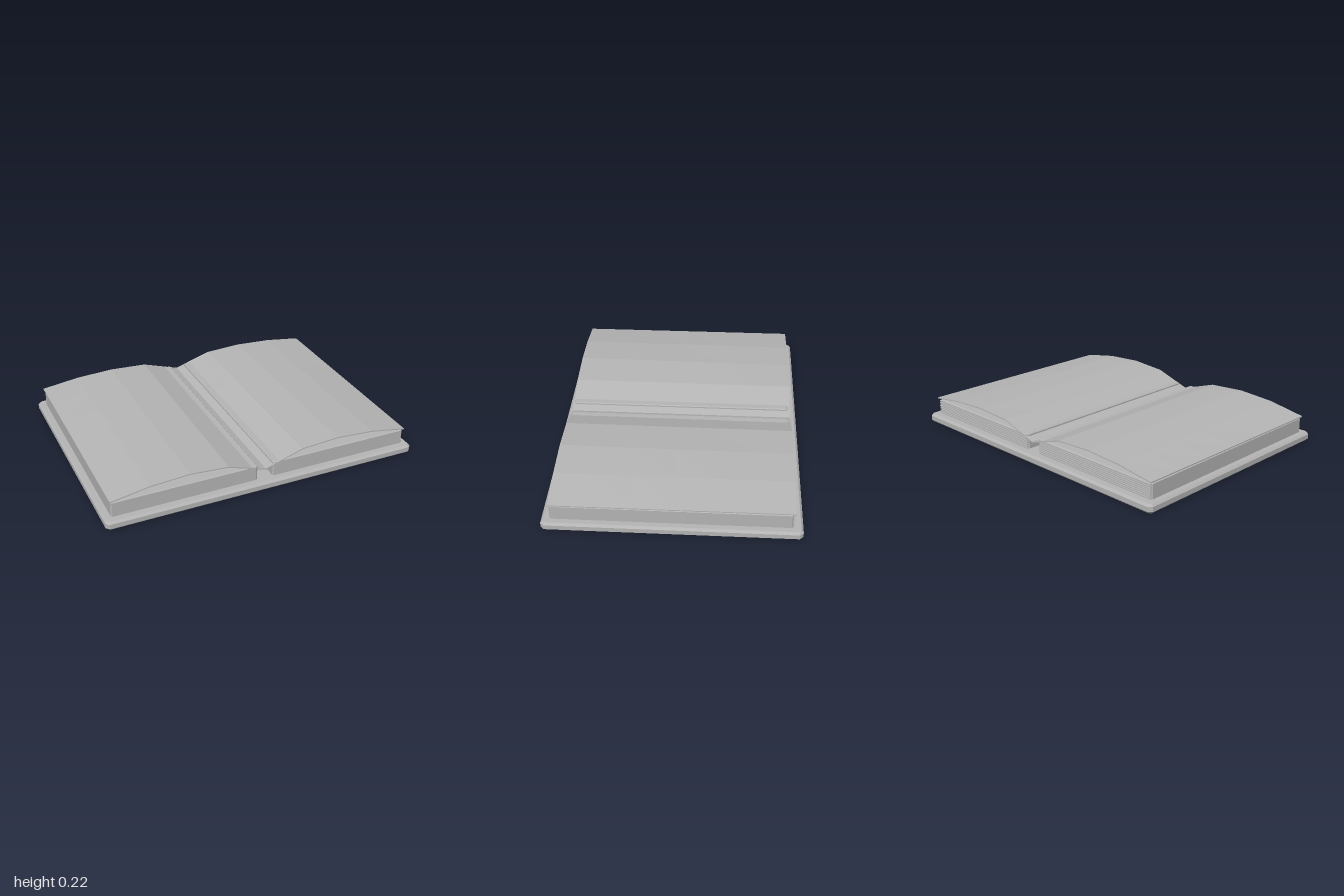
import * as THREE from 'three';

const paper = new THREE.MeshStandardMaterial({ color: 0xb4b4b4, flatShading: true });
paper.name = 'plain grey';

// Flat slab standing on y = 0, with chamfered edges and corners
function slab(w, h, d, c) {
  const x = w / 2 - c, z = d / 2 - c;
  const shape = new THREE.Shape();
  [[-x + c, -z], [x - c, -z], [x, -z + c], [x, z - c], [x - c, z], [-x + c, z], [-x, z - c], [-x, -z + c]]
    .forEach(([px, pz], i) => (i ? shape.lineTo(px, pz) : shape.moveTo(px, pz)));
  shape.closePath();
  const geo = new THREE.ExtrudeGeometry(shape, {
    depth: h - 2 * c, bevelEnabled: true, bevelSize: c, bevelThickness: c, bevelSegments: 1,
  });
  return geo.translate(0, 0, c).rotateX(-Math.PI / 2);
}

function add(parent, name, geo, x = 0, y = 0, z = 0) {
  const mesh = new THREE.Mesh(geo, paper);
  mesh.name = name;
  mesh.position.set(x, y, z);
  parent.add(mesh);
  return mesh;
}

// Open spread: a thin sheet arched over both page blocks, dipping at the gutter
function spreadGeometry() {
  const arch = [0.117, 0.196, 0.213, 0.198, 0.157];
  const drop = [0, 0.003, 0.008, 0.005, -0.004];
  const geo = new THREE.BoxGeometry(1.92, 0.007, 1.41, 8, 1, 6);
  const p = geo.attributes.position;
  for (let i = 0; i < p.count; i++) {
    const k = Math.round(Math.abs(p.getX(i)) / 0.24);
    const back = (0.705 - p.getZ(i)) / 1.41;
    p.setY(i, p.getY(i) + arch[k] - drop[k] * back);
  }
  geo.computeVertexNormals();
  return geo;
}

export function createModel() {
  const book = new THREE.Group();
  book.name = 'openBook';

  add(book, 'cover', slab(2, 0.055, 1.5, 0.013));

  // Page blocks with leaf edges showing along the back
  for (const side of [1, -1]) {
    const block = new THREE.Group();
    block.name = side > 0 ? 'leftPageBlock' : 'rightPageBlock';
    block.position.x = side * 0.5025;
    book.add(block);
    add(block, 'pageCore', slab(0.905, 0.1, 1.39, 0.005), 0, 0.05, 0.005);
    for (let i = 0; i < 8; i++) {
      add(block, 'leafEdge', new THREE.BoxGeometry(0.895, 0.006, 0.02), 0, 0.06 + i * 0.0118, -0.688);
    }
  }

  add(book, 'openSpread', spreadGeometry());
  return book;
}
